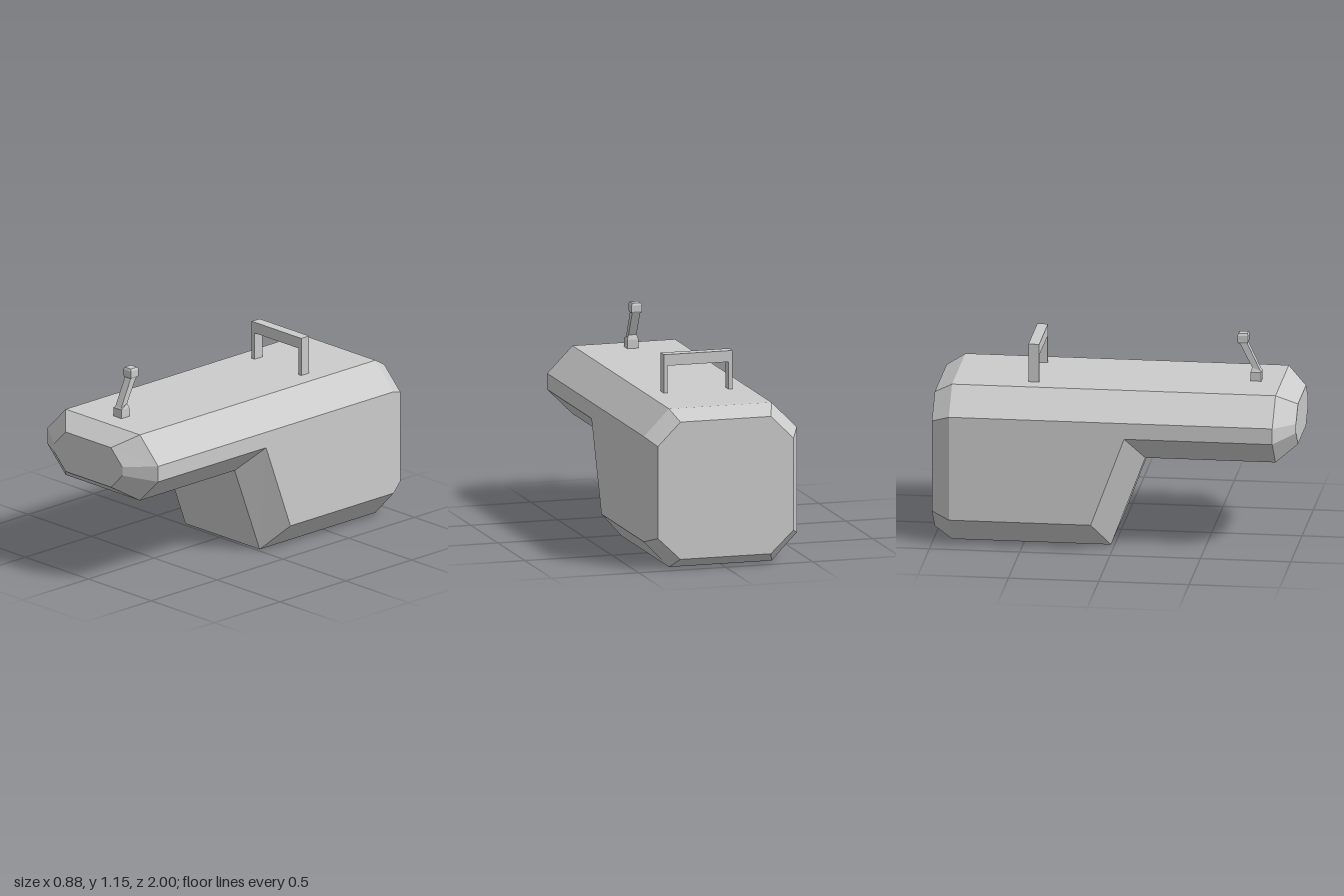
import * as THREE from 'three';

const material = new THREE.MeshStandardMaterial({ color: 0xcccccc, flatShading: true });

// Flat-faced solid through equal-sized rings of [x, y, z], counter-clockwise seen from the last ring
function loft(rings) {
  const pos = [];
  const tri = (a, b, c) => pos.push(...a, ...b, ...c);
  const n = rings[0].length;
  for (let r = 0; r < rings.length - 1; r++) {
    const a = rings[r], b = rings[r + 1];
    for (let i = 0; i < n; i++) {
      const j = (i + 1) % n;
      tri(a[i], a[j], b[j]);
      tri(a[i], b[j], b[i]);
    }
  }
  const first = rings[0], last = rings[rings.length - 1];
  for (let i = 1; i < n - 1; i++) {
    tri(first[0], first[i + 1], first[i]);
    tri(last[0], last[i], last[i + 1]);
  }
  const geo = new THREE.BufferGeometry();
  geo.setAttribute('position', new THREE.Float32BufferAttribute(pos, 3));
  geo.computeVertexNormals();
  return geo;
}

// Chamfered eight-sided section; the bottom edge may lie at its own z
function section(z, inner, outer, bottom, low, high, top, zBottom = z) {
  const half = [[inner, bottom, zBottom], [outer, low, z], [outer, high, z], [inner, top, z]];
  const mirrored = half.map(([x, y, d]) => [-x, y, d]).reverse();
  return [...half, ...mirrored];
}

// Horizontal rectangle for the lever; the front and back edges have their own heights
function rect(x, zBack, zFront, yBack, yFront = yBack) {
  return [[x, yFront, zFront], [x, yBack, zBack], [-x, yBack, zBack], [-x, yFront, zFront]];
}

export function createModel() {
  const group = new THREE.Group();
  const add = (name, geometry, parent = group) => {
    const mesh = new THREE.Mesh(geometry, material);
    mesh.name = name;
    parent.add(mesh);
    return mesh;
  };

  // Body: deep rear hull, slanted step, shallow overhanging nose
  add('body', loft([
    section(-1, 0.26, 0.39, 0.06, 0.185, 0.70, 0.83),
    section(-0.9, 0.295, 0.44, 0, 0.15, 0.74, 0.887),
    section(-0.115, 0.295, 0.44, 0, 0.15, 0.74, 0.887, -0.02),
    section(0.07, 0.295, 0.44, 0.505, 0.65, 0.74, 0.887, 0.17),
    section(0.89, 0.295, 0.44, 0.505, 0.65, 0.74, 0.887),
    section(1, 0.18, 0.27, 0.58, 0.67, 0.72, 0.81),
  ]));

  // Rear handle: a square arch
  const arch = new THREE.Shape();
  [[-0.197, 0.88], [-0.175, 0.88], [-0.175, 1.04], [0.175, 1.04],
    [0.175, 0.88], [0.197, 0.88], [0.197, 1.103], [-0.197, 1.103]]
    .forEach(([x, y], i) => (i ? arch.lineTo(x, y) : arch.moveTo(x, y)));
  const handle = new THREE.ExtrudeGeometry(arch, { depth: 0.06, bevelEnabled: false });
  add('handle', handle.translate(0, 0, -0.49));

  // Front lever: socket, leaning stem and chamfered knob
  const lever = new THREE.Group();
  lever.name = 'lever';
  group.add(lever);
  add('leverStem', loft([
    rect(0.032, 0.718, 0.778, 0.88),
    rect(0.032, 0.718, 0.778, 0.937),
    rect(0.023, 0.727, 0.772, 0.962, 0.945),
    rect(0.023, 0.655, 0.697, 1.105),
  ]), lever);
  add('leverKnob', loft([
    rect(0.026, 0.652, 0.700, 1.098),
    rect(0.03, 0.646, 0.706, 1.108),
    rect(0.03, 0.646, 0.706, 1.143),
    rect(0.024, 0.652, 0.700, 1.155),
  ]), lever);

  return group;
}
